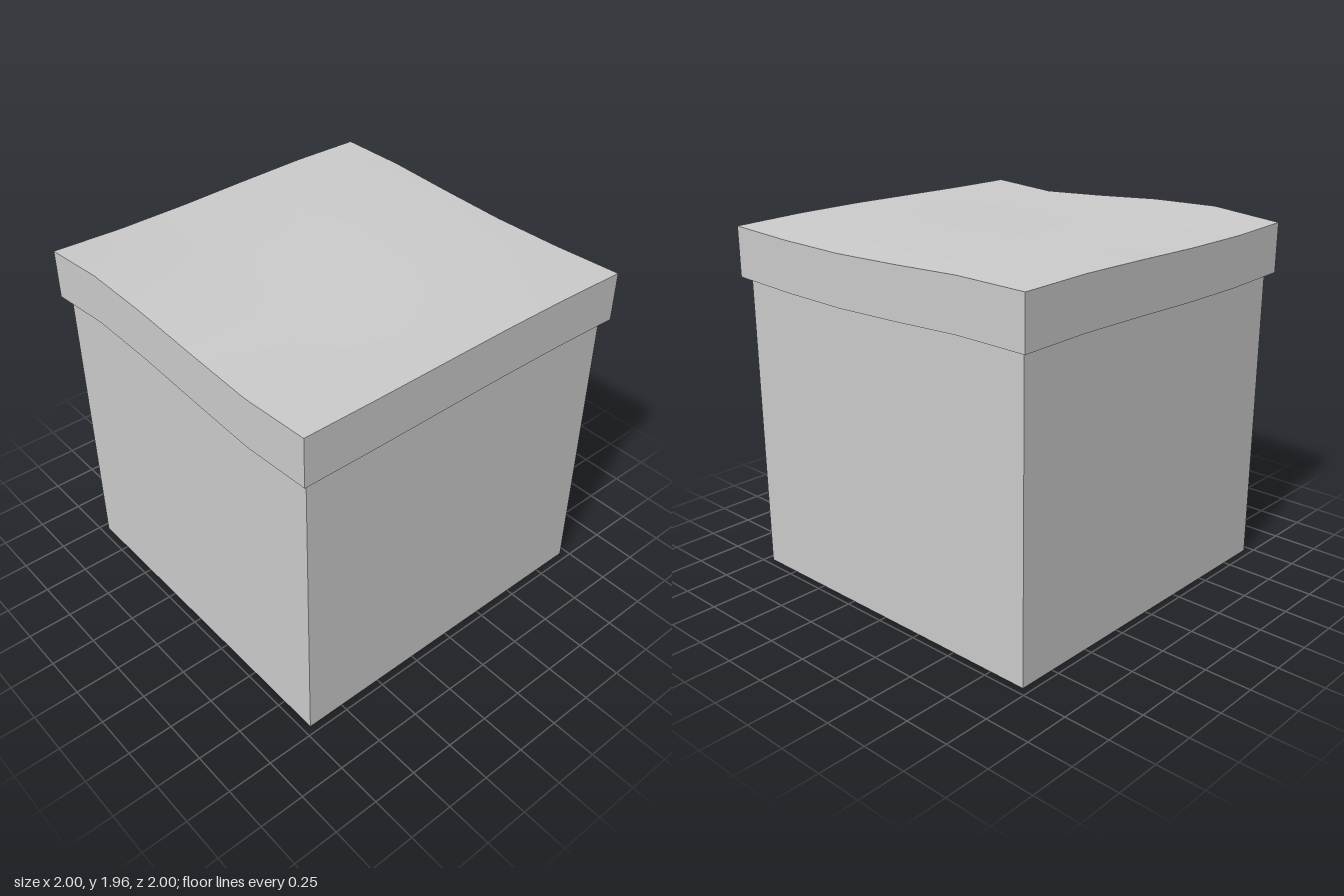
import * as THREE from 'three';

const LID_THICKNESS = 0.27;

// Heights of the lid's top along each rim, sampled at -1, -0.6, -0.2, 0.2, 0.6, 1
const FRONT = [1.92, 1.958, 1.95, 1.925, 1.905, 1.932]; // along x at z = 1
const BACK = [1.92, 1.925, 1.91, 1.9, 1.907, 1.925]; // along x at z = -1
const LEFT_EDGE = [1.92, 1.927, 1.92, 1.91, 1.908, 1.92]; // along z at x = -1
const RIGHT_EDGE = [1.925, 1.937, 1.94, 1.936, 1.932, 1.932]; // along z at x = 1

// Blend the four wavy rims into one smooth surface
function lidHeight(i, j) {
  const u = i / 5, v = j / 5;
  const { lerp } = THREE.MathUtils;
  const alongZ = lerp(BACK[i], FRONT[i], v);
  const alongX = lerp(LEFT_EDGE[j], RIGHT_EDGE[j], u);
  const corners = lerp(lerp(BACK[0], BACK[5], u), lerp(FRONT[0], FRONT[5], u), v);
  return alongZ + alongX - corners;
}

export function createModel() {
  const group = new THREE.Group();
  group.name = 'liddedBlock';
  const material = new THREE.MeshStandardMaterial({ color: 0xcccccc });

  // Plain body, reaching a little way into the lid
  const bodyHeight = 1.7;
  const body = new THREE.Mesh(new THREE.BoxGeometry(1.92, bodyHeight, 1.92), material);
  body.name = 'body';
  body.position.y = bodyHeight / 2;
  group.add(body);

  // Overhanging slab of even thickness, bent to the wavy surface
  const geometry = new THREE.BoxGeometry(2, LID_THICKNESS, 2, 5, 1, 5);
  const pos = geometry.attributes.position;
  for (let k = 0; k < pos.count; k++) {
    const i = Math.round((pos.getX(k) + 1) * 2.5);
    const j = Math.round((pos.getZ(k) + 1) * 2.5);
    pos.setY(k, lidHeight(i, j) - (pos.getY(k) > 0 ? 0 : LID_THICKNESS));
  }
  geometry.computeVertexNormals();
  const lid = new THREE.Mesh(geometry, material);
  lid.name = 'wavyLid';
  group.add(lid);

  return group;
}
